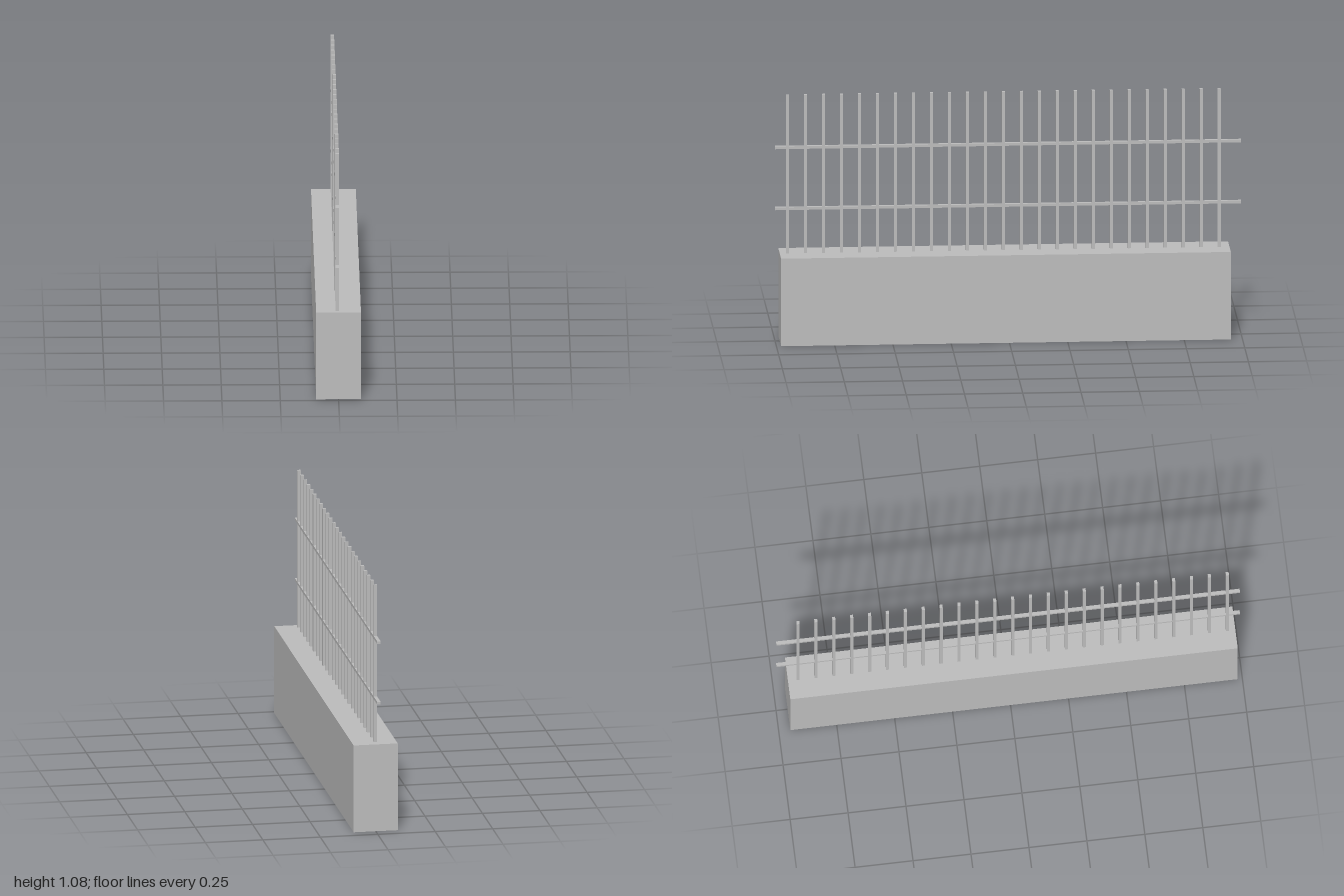
import * as THREE from 'three';

export function createModel() {
  const group = new THREE.Group();
  const gray = new THREE.MeshStandardMaterial({ color: 0xbbbbbb });
  gray.name = 'light gray';

  const addBox = (name, w, h, d, x, y, z) => {
    const mesh = new THREE.Mesh(new THREE.BoxGeometry(w, h, d), gray);
    mesh.name = name;
    mesh.position.set(x, y, z);
    group.add(mesh);
  };

  // Solid wall the fence stands on
  const wallHeight = 0.386;
  addBox('wall', 0.192, wallHeight, 1.93, 0, wallHeight / 2, 0.015);

  // Evenly spaced upright bars
  const fenceX = -0.005, top = 1.084, count = 25;
  const firstZ = 0.946, lastZ = -0.906;
  for (let i = 0; i < count; i++) {
    const z = THREE.MathUtils.lerp(firstZ, lastZ, i / (count - 1));
    addBox(`bar${i + 1}`, 0.015, top - wallHeight, 0.013, fenceX, (top + wallHeight) / 2, z);
  }

  // Two long horizontal rails
  addBox('lowerRail', 0.015, 0.012, 2, fenceX, 0.583, 0);
  addBox('upperRail', 0.015, 0.012, 2, fenceX, 0.852, 0);

  return group;
}
